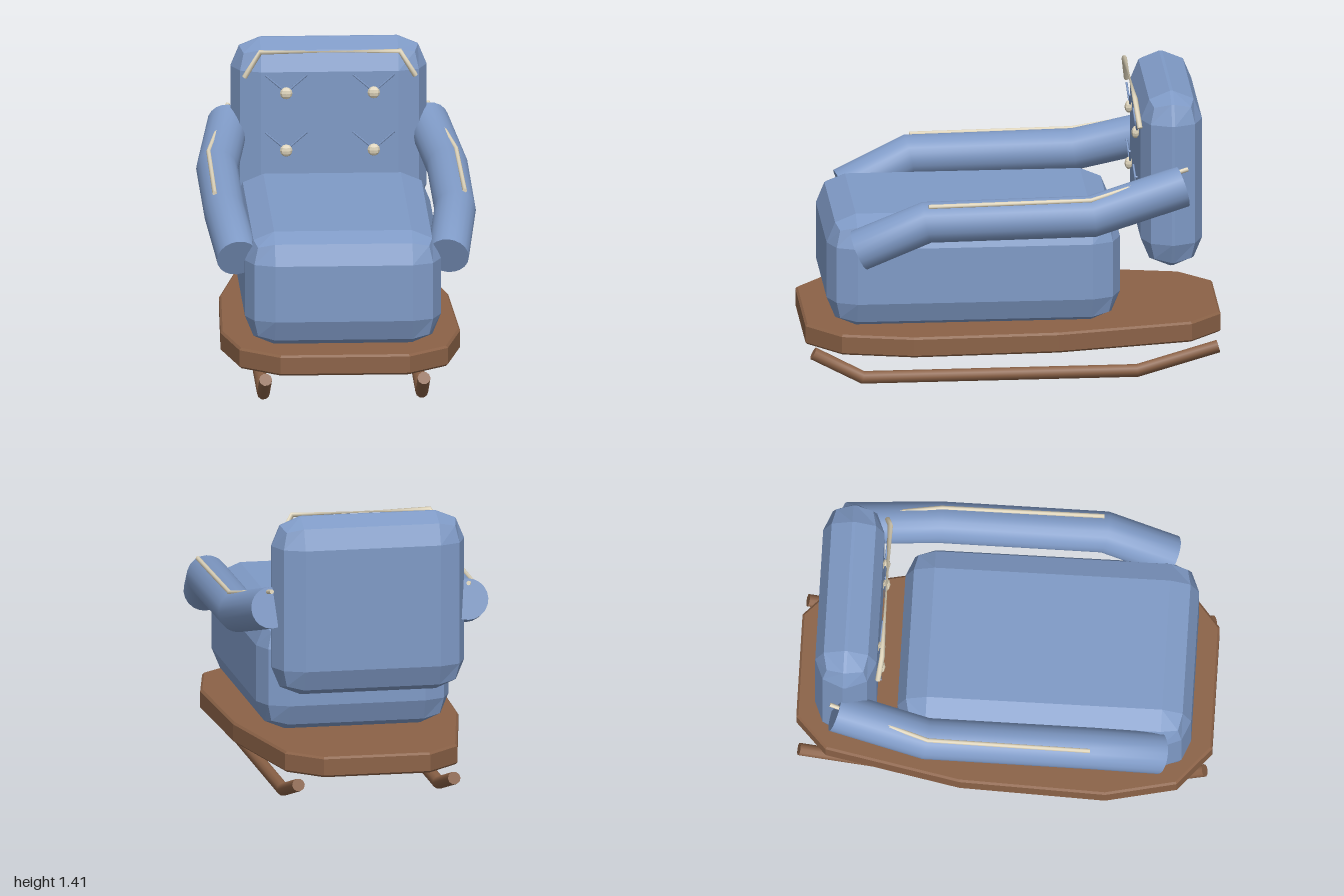
import * as THREE from 'three';
import { RoundedBoxGeometry } from 'three/addons/geometries/RoundedBoxGeometry.js';

const mat = (name, color) => {
  const m = new THREE.MeshStandardMaterial({ color });
  m.name = name;
  return m;
};

// Capped tube along a polyline of [x, y, z] points with sharp bends
function polyTube(points, radius, sides) {
  const pts = points.map(p => new THREE.Vector3(...p));
  const last = pts.length - 1;
  const pos = [], idx = [];
  const dir = i => pts[i + 1].clone().sub(pts[i]).normalize();
  const ref = Math.abs(dir(0).x) > 0.6 ? new THREE.Vector3(0, 0, 1) : new THREE.Vector3(1, 0, 0);
  const rings = pts.map((p, i) => {
    const t = dir(Math.min(i, last - 1)).add(dir(Math.max(i - 1, 0))).normalize();
    const u = ref.clone().addScaledVector(t, -ref.dot(t)).normalize();
    const v = t.clone().cross(u);
    return Array.from({ length: sides }, (_, k) => {
      const a = k / sides * Math.PI * 2;
      return p.clone().addScaledVector(u, Math.cos(a) * radius).addScaledVector(v, Math.sin(a) * radius);
    });
  });
  rings.forEach(r => r.forEach(q => pos.push(q.x, q.y, q.z)));
  for (let i = 0; i < last; i++) {
    for (let k = 0; k < sides; k++) {
      const a = i * sides + k, b = i * sides + (k + 1) % sides;
      idx.push(a, b, a + sides, b, b + sides, a + sides);
    }
  }
  // End caps with their own vertices so the rims stay sharp
  for (const end of [0, last]) {
    const base = pos.length / 3;
    pos.push(pts[end].x, pts[end].y, pts[end].z);
    rings[end].forEach(q => pos.push(q.x, q.y, q.z));
    for (let k = 0; k < sides; k++) {
      const a = base + 1 + k, b = base + 1 + (k + 1) % sides;
      if (end === 0) idx.push(base, b, a);
      else idx.push(base, a, b);
    }
  }
  const g = new THREE.BufferGeometry();
  g.setAttribute('position', new THREE.Float32BufferAttribute(pos, 3));
  g.setIndex(idx);
  g.computeVertexNormals();
  return g;
}

// Cushion with faceted rounded edges
function cushion(w, h, d, r) {
  const g = new RoundedBoxGeometry(w, h, d, 1, r);
  g.computeVertexNormals();
  return g;
}

export function createModel() {
  const model = new THREE.Group();
  model.name = 'rockingChair';
  const fabric = mat('blue fabric', 0x7f9ac6);
  const wood = mat('brown wood', 0x8b6247);
  const cream = mat('cream trim', 0xded4bb);

  const add = (name, geometry, material, x = 0, y = 0, z = 0) => {
    const m = new THREE.Mesh(geometry, material);
    m.name = name;
    m.position.set(x, y, z);
    model.add(m);
    return m;
  };

  // Cushions
  add('seat', cushion(0.94, 0.555, 1.41, 0.14), fabric, 0, 0.5625, 0.195);
  add('backrest', cushion(0.94, 0.875, 0.295, 0.14), fabric, 0, 0.9825, -0.7575);

  // Wooden deck: half outline [x, z], mirrored
  const half = [[0.31, 1], [0.5, 0.84], [0.575, 0.5], [0.55, -0.2], [0.42, -0.85], [0.26, -1]];
  const outline = [...half, ...half.map(([x, z]) => [-x, z]).reverse()];
  const bevel = 0.01;
  const deck = new THREE.ExtrudeGeometry(
    new THREE.Shape(outline.map(([x, z]) => new THREE.Vector2(x, -z))),
    { depth: 0.08, bevelEnabled: true, bevelThickness: bevel, bevelSize: bevel, bevelOffset: -bevel, bevelSegments: 1 });
  deck.rotateX(-Math.PI / 2);
  add('deck', deck, wood, 0, 0.195, 0);

  // Runners, arms and arm piping on both sides
  for (const s of [1, -1]) {
    const side = s > 0 ? 'left' : 'right';
    const mirror = pts => pts.map(([x, y, z]) => [s * x, y, z]);
    add(side + 'Runner', polyTube(mirror([
      [0.38, 0.16, 0.968], [0.38, 0.034, 0.73], [0.38, 0.037, -0.59], [0.38, 0.15, -0.98]]), 0.031, 10), wood);
    add(side + 'Arm', polyTube(mirror([
      [0.505, 0.71, 0.757], [0.553, 0.857, 0.435], [0.553, 0.868, -0.36], [0.48, 0.985, -0.8]]), 0.1, 20), fabric);
    add(side + 'ArmPiping', polyTube(mirror([
      [0.6, 0.948, 0.43], [0.594, 0.959, -0.35], [0.48, 1.07, -0.825]]), 0.011, 8), cream);
  }

  // Piping across the top of the backrest
  add('backPiping', polyTube([
    [-0.41, 1.26, -0.6], [-0.335, 1.386, -0.583], [0.335, 1.386, -0.583], [0.41, 1.26, -0.6]], 0.013, 8), cream);

  // Tufting buttons with a pair of creases each
  const button = new THREE.SphereGeometry(0.03, 8, 6).toNonIndexed();
  button.computeVertexNormals();
  for (const y of [1.18, 0.897]) {
    for (const x of [-0.21, 0.21]) {
      add('button', button, cream, x, y, -0.594).scale.z = 0.65;
      for (const s of [-1, 1]) {
        add('tuftCrease', polyTube([
          [x + s * 0.012, y + 0.012, -0.6], [x + s * 0.1, y + 0.09, -0.592]], 0.005, 6), fabric);
      }
    }
  }
  return model;
}
